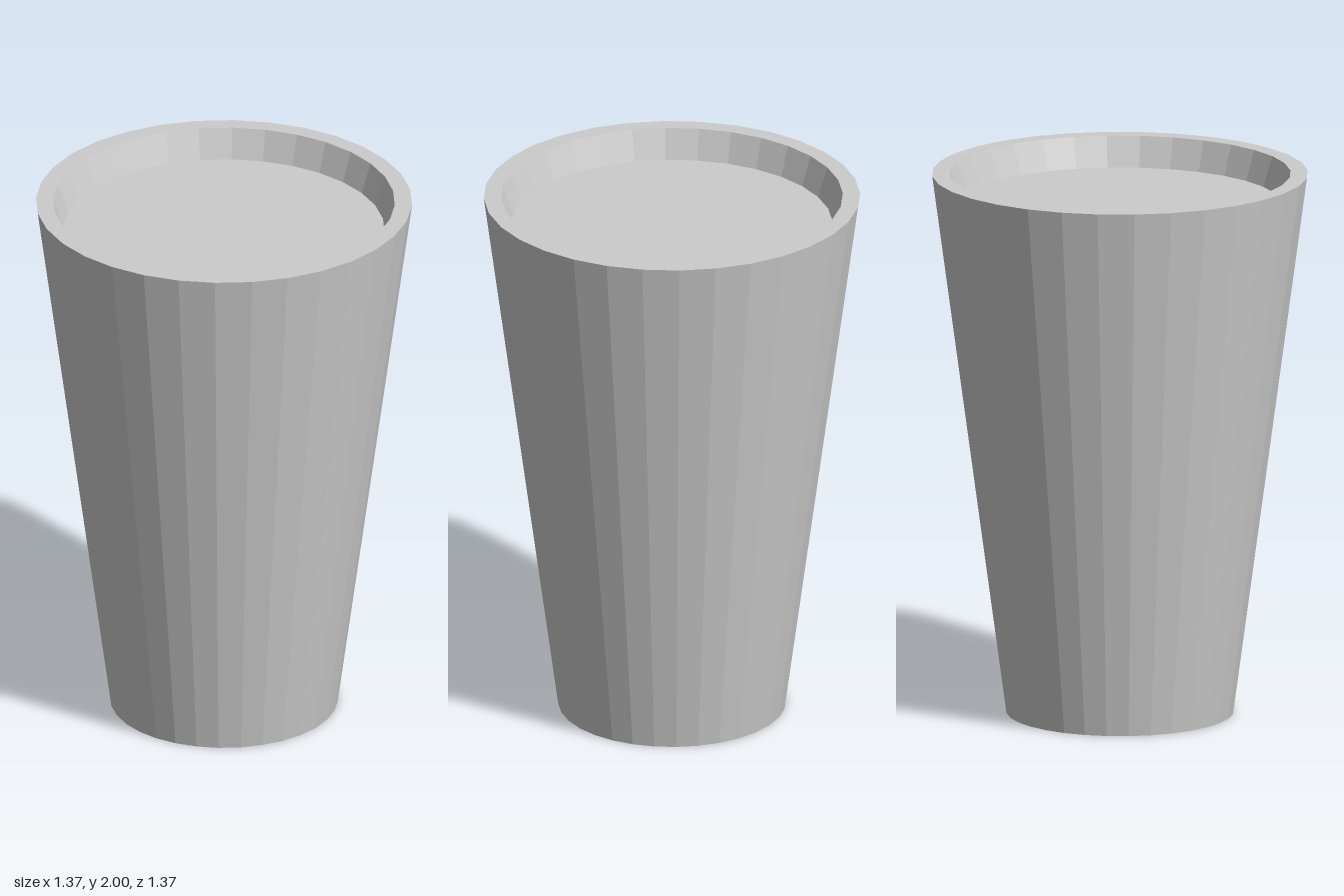
import * as THREE from 'three';

const SIDES = 32;
const BASE_RADIUS = 0.413, RIM_RADIUS = 0.683, HEIGHT = 2;
const LIP_RADIUS = 0.62, FILL_RADIUS = 0.583, FILL_HEIGHT = 1.89;

export function createModel() {
  const group = new THREE.Group();
  group.name = 'taperedCup';
  const material = new THREE.MeshStandardMaterial({ color: 0xcccccc, flatShading: true });

  const addPart = (name, geometry) => {
    const mesh = new THREE.Mesh(geometry, material);
    mesh.name = name;
    group.add(mesh);
    return mesh;
  };

  // Faceted ring of wall through the given [radius, height] points
  const ring = (...points) =>
    new THREE.LatheGeometry(points.map(([r, y]) => new THREE.Vector2(r, y)), SIDES);

  // Flat disc facing up (or down)
  const disc = (name, radius, y, up) => {
    const mesh = addPart(name, new THREE.CircleGeometry(radius, SIDES));
    mesh.rotation.x = up ? -Math.PI / 2 : Math.PI / 2;
    mesh.position.y = y;
  };

  // Tapered outside, flat rim and the sloping inner lip
  addPart('outerWall', ring([BASE_RADIUS, 0], [RIM_RADIUS, HEIGHT]));
  addPart('rim', ring([RIM_RADIUS, HEIGHT], [LIP_RADIUS, HEIGHT]));
  addPart('innerLip', ring([LIP_RADIUS, HEIGHT], [FILL_RADIUS, FILL_HEIGHT]));

  // Closed underside and the recessed top surface
  disc('base', BASE_RADIUS, 0, false);
  disc('fillSurface', FILL_RADIUS, FILL_HEIGHT, true);

  return group;
}
